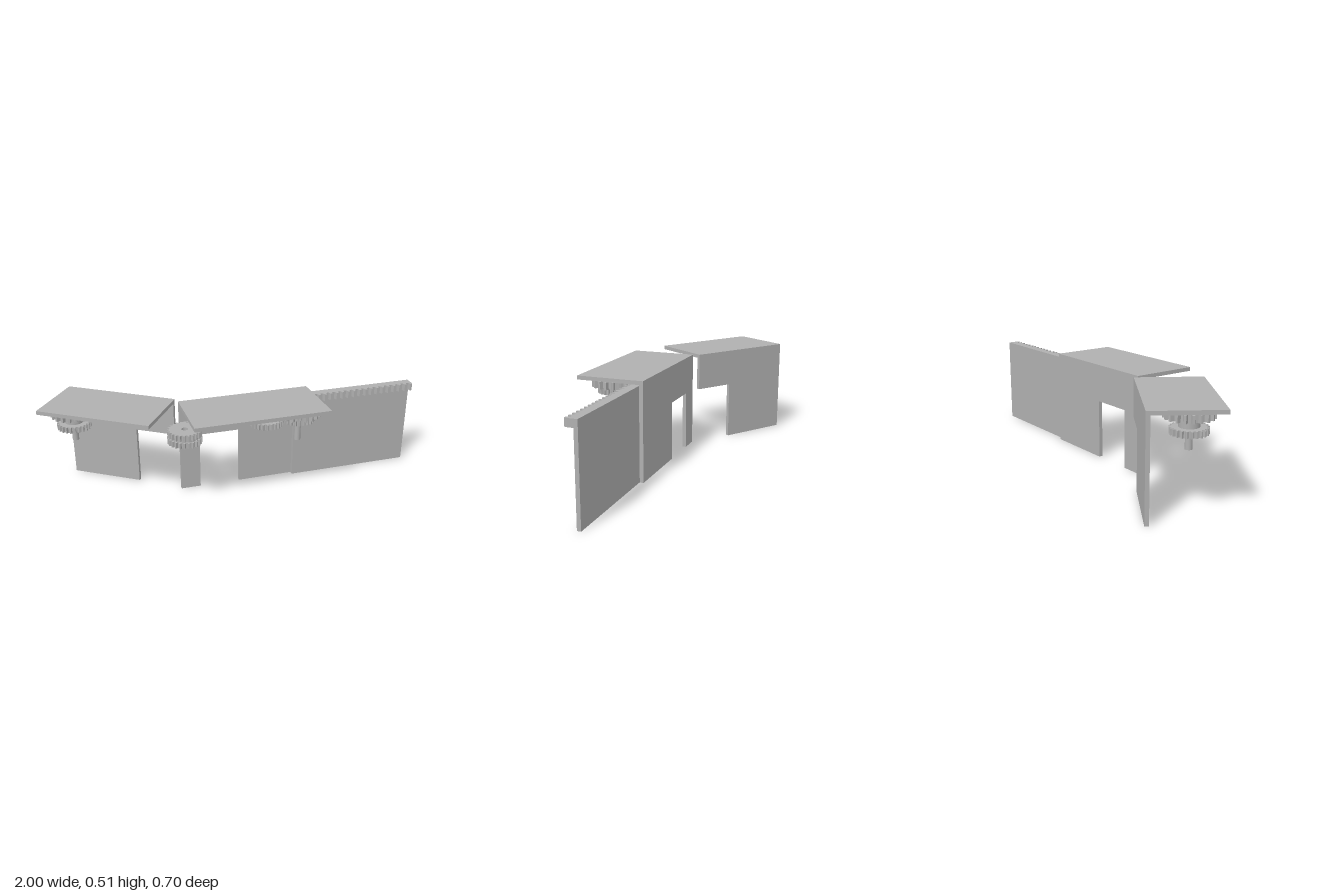
import * as THREE from 'three';

export function createModel() {
  const grey = new THREE.MeshStandardMaterial({ color: 0xb0b0b0 });
  grey.name = 'plain grey';
  const model = new THREE.Group();
  model.name = 'gearedSlidingPanels';

  const ANGLE = 0.2967, WALL = 0.02, DEPTH = 0.348, AXIS_Z = 0.2;

  function add(parent, name, geometry, x = 0, y = 0, z = 0) {
    const mesh = new THREE.Mesh(geometry, grey);
    mesh.name = name;
    mesh.position.set(x, y, z);
    parent.add(mesh);
    return mesh;
  }

  const toShape = (pts) => new THREE.Shape(pts.map(([x, y]) => new THREE.Vector2(x, y)));
  const extrude = (shape, depth) =>
    new THREE.ExtrudeGeometry(shape, { depth, bevelEnabled: false, curveSegments: 12 });
  // Plan outline (x, -z) extruded upwards
  const extrudeUp = (shape, height) => extrude(shape, height).rotateX(-Math.PI / 2);

  // Spur gear with a round bore
  function gearGeometry(radius, toothDepth, teeth, height) {
    const pts = [];
    const step = (Math.PI * 2) / teeth;
    for (let i = 0; i < teeth; i++) {
      for (const [f, r] of [[-0.3, radius - toothDepth], [-0.14, radius], [0.14, radius], [0.3, radius - toothDepth]]) {
        const a = Math.PI / 2 + (i + f) * step;
        pts.push([Math.cos(a) * r, Math.sin(a) * r]);
      }
    }
    const shape = toShape(pts);
    const bore = new THREE.Path();
    bore.absarc(0, 0, 0.017, 0, Math.PI * 2, true);
    shape.holes.push(bore);
    return extrudeUp(shape, height);
  }
  const bigGear = () => gearGeometry(0.117, 0.019, 20, 0.038);
  const smallGear = () => gearGeometry(0.0885, 0.011, 24, 0.031);

  // Straight toothed rack, back edge on z = 0, teeth towards +z
  function rackGeometry(length, depth, toothDepth, teeth, height) {
    const pts = [[length, 0], [0, 0]];
    const pitch = length / teeth;
    for (let i = 0; i < teeth; i++) {
      for (const [f, d] of [[0, depth - toothDepth], [0.4, depth - toothDepth], [0.58, depth], [0.86, depth], [1, depth - toothDepth]]) {
        pts.push([(i + f) * pitch, -d]);
      }
    }
    return extrudeUp(toShape(pts.reverse()), height);
  }

  // Shelf along local +x with its back edge on z = 0
  function shelf(parent, length) {
    add(parent, 'topPlate', new THREE.BoxGeometry(length, 0.02, DEPTH), length / 2, 0.5, DEPTH / 2);
  }

  function shaft(parent, x) {
    add(parent, 'shaft', new THREE.CylinderGeometry(0.017, 0.017, 0.188, 24), x, 0.396, AXIS_Z);
  }

  // Left-hand unit: plate, notched wall and stacked gears
  const short = new THREE.Group();
  short.name = 'shortUnit';
  short.position.set(-0.9, 0, -0.197);
  short.rotation.y = -ANGLE;
  model.add(short);
  shelf(short, 0.612);
  add(short, 'notchedWall', extrude(toShape([
    [0, 0], [0.392, 0], [0.392, 0.312], [0.612, 0.312], [0.612, 0.49], [0, 0.49],
  ]), WALL));
  shaft(short, 0.124);
  add(short, 'largeGear', bigGear(), 0.124, 0.447, AXIS_Z);
  add(short, 'smallGear', smallGear(), 0.124, 0.374, AXIS_Z);
  add(short, 'gearHub', new THREE.CylinderGeometry(0.048, 0.048, 0.042, 32), 0.124, 0.426, AXIS_Z);

  // Right-hand unit: plate, wall with doorway, sliding panel and gear train
  const long = new THREE.Group();
  long.name = 'longUnit';
  long.position.set(-0.295, 0, 0.013);
  long.rotation.y = ANGLE;
  model.add(long);
  shelf(long, 0.716);
  add(long, 'doorwayWall', extrude(toShape([
    [0, 0], [0.107, 0], [0.107, 0.312], [0.328, 0.312], [0.328, 0], [0.716, 0], [0.716, 0.49], [0, 0.49],
  ]), WALL));

  // Sliding panel with the rack on its top edge
  add(long, 'slidingPanel', new THREE.BoxGeometry(0.69, 0.446, WALL), 0.981, 0.223, 0.031);
  add(long, 'rack', rackGeometry(0.69, 0.064, 0.019, 20, 0.039), 0.636, 0.446, 0.021);

  // Drive gears on the shaft, then the idler beside them
  shaft(long, 0.593);
  add(long, 'largeGear', bigGear(), 0.593, 0.447, AXIS_Z);
  add(long, 'smallGear', smallGear(), 0.593, 0.414, AXIS_Z);
  add(long, 'idlerGear', smallGear(), 0.417, 0.414, AXIS_Z);

  // Double gear between the two units
  for (const y of [0.374, 0.414]) add(long, 'linkGear', smallGear(), -0.015, y, 0.202);
  const ring = new THREE.Shape().absarc(0, 0, 0.075, 0, Math.PI * 2, false);
  ring.holes.push(new THREE.Path().absarc(0, 0, 0.017, 0, Math.PI * 2, true));
  add(long, 'linkGearSpacer', extrudeUp(ring, 0.009), -0.015, 0.405, 0.202);

  // Thin strap running behind the gear train
  add(long, 'strap', new THREE.BoxGeometry(0.608, 0.008, 0.008), 0.289, 0.434, 0.106);

  return model;
}
